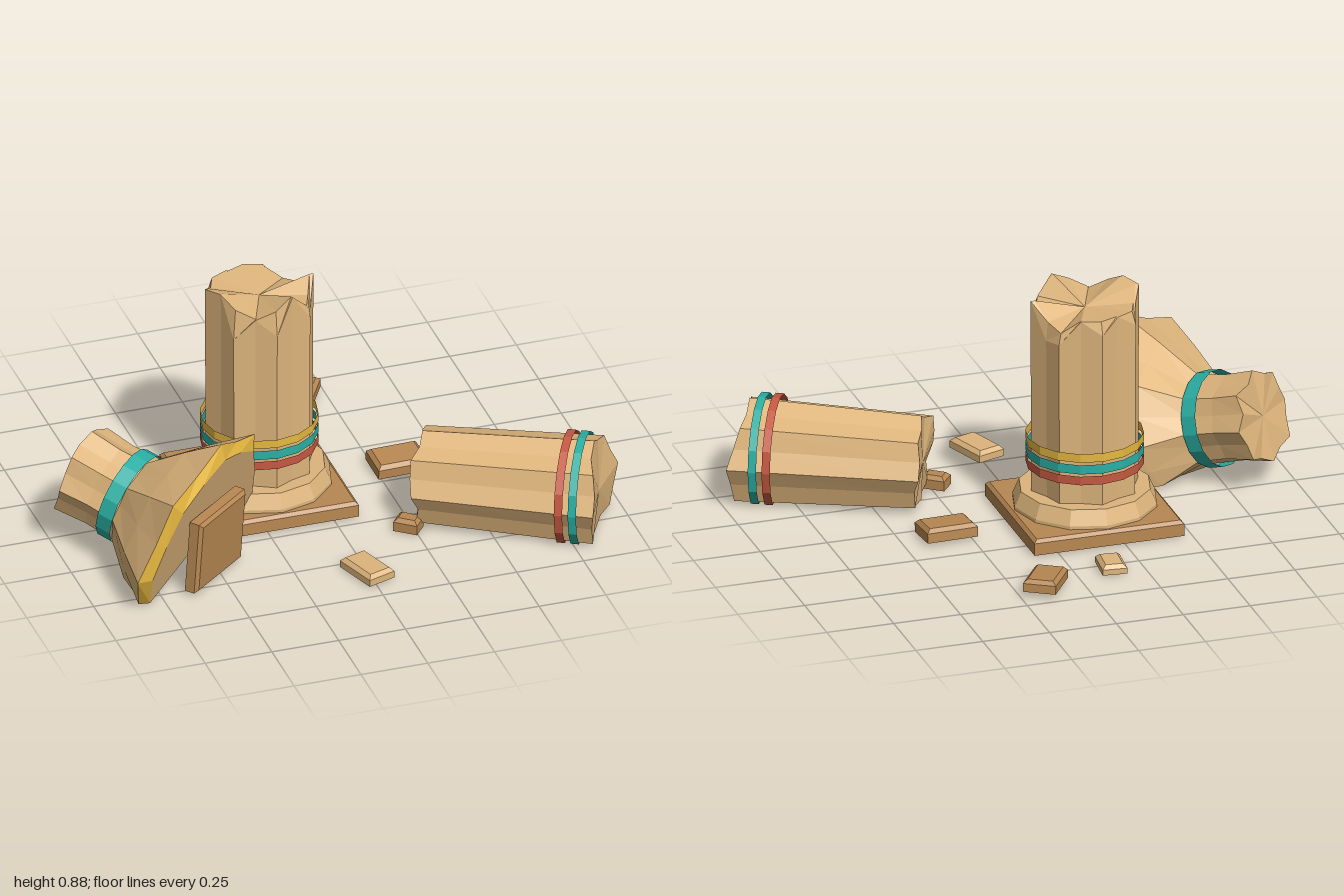
import * as THREE from 'three';

const mat = (color) => new THREE.MeshStandardMaterial({ color, flatShading: true, side: THREE.DoubleSide });
const TAN = mat(0xdeb57c), BROWN = mat(0xb88852), TEAL = mat(0x2bb0a4), RED = mat(0xc65942), GOLD = mat(0xe6b840);
const SIDES = 16;

// Fluted solid along y from sections [height, ridge radius, groove ratio, height offsets].
// Angle 0 faces +z and runs towards +x.
function fluted(sections, sides = SIDES) {
  const pos = [], idx = [];
  for (const [y, r, groove = 0.89, jag] of sections) {
    for (let i = 0; i < sides; i++) {
      const a = (i / sides) * Math.PI * 2, k = i % 2 ? r * groove : r;
      pos.push(k * Math.sin(a), y + (jag ? jag[i] : 0), k * Math.cos(a));
    }
  }
  for (let s = 0; s < sections.length - 1; s++) {
    for (let i = 0; i < sides; i++) {
      const a = s * sides + i, b = s * sides + (i + 1) % sides;
      idx.push(a, b, b + sides, a, b + sides, a + sides);
    }
  }
  const g = new THREE.BufferGeometry();
  g.setAttribute('position', new THREE.Float32BufferAttribute(pos, 3));
  g.setIndex(idx);
  g.computeVertexNormals();
  return g;
}

// Round open band spanning the flutes
const band = (y0, y1, r) =>
  new THREE.CylinderGeometry(r, r, y1 - y0, SIDES, 1, true).translate(0, (y0 + y1) / 2, 0);

// Lays a geometry down along a direction and flattens what would sink into the ground
function layDown(geometry, origin, direction) {
  const u = direction.clone().normalize();
  const side = new THREE.Vector3().crossVectors(u, new THREE.Vector3(0, 1, 0)).normalize();
  const up = new THREE.Vector3().crossVectors(side, u);
  geometry.applyMatrix4(new THREE.Matrix4().makeBasis(side, u, up).setPosition(origin));
  const p = geometry.attributes.position;
  for (let i = 0; i < p.count; i++) p.setY(i, Math.max(0.005, p.getY(i)));
  geometry.computeVertexNormals();
  return geometry;
}

// Box standing on y = 0 whose top edge is bevelled
function block(w, h, d, bevel) {
  const g = new THREE.BoxGeometry(w, h, d, 1, 2, 1).translate(0, h / 2, 0);
  const p = g.attributes.position;
  for (let i = 0; i < p.count; i++) {
    const y = p.getY(i);
    if (y > h * 0.75) {
      p.setX(i, p.getX(i) - Math.sign(p.getX(i)) * bevel);
      p.setZ(i, p.getZ(i) - Math.sign(p.getZ(i)) * bevel);
    } else if (y > h * 0.25) p.setY(i, h - bevel);
  }
  g.computeVertexNormals();
  return g;
}

function add(parent, name, geometry, material) {
  const m = new THREE.Mesh(geometry, material);
  m.name = name;
  parent.add(m);
  return m;
}

function group(parent, name) {
  const g = new THREE.Group();
  g.name = name;
  parent.add(g);
  return g;
}

export function createModel() {
  const model = new THREE.Group();
  model.name = 'ruinedColumns';

  // Standing broken column; the break bridges the notches of the jagged rim
  const column = group(model, 'standingColumn');
  column.position.set(-0.19, 0, -0.07);
  add(column, 'plinth', block(0.56, 0.058, 0.56, 0.012), BROWN);
  add(column, 'foot', fluted([[0.05, 0.262, 1], [0.07, 0.262, 1], [0.125, 0.238, 1], [0.125, 0, 1]], 12), TAN);
  const rim = [0.75, 0.88, 0.77, 0.75, 0.86, 0.73, 0.74, 0.83, 0.78, 0.83, 0.78, 0.83, 0.87, 0.88, 0.73, 0.81];
  const bridged = rim.map((h, i) => Math.max(h, (rim[(i + 15) % 16] + rim[(i + 1) % 16]) / 2));
  add(column, 'shaft', fluted([
    [0.12, 0.2], [0, 0.203, 0.89, rim], [0, 0.188, 0.92, bridged], [0.81, 0],
  ]), TAN);
  [['redBand', 0.21, 0.243, RED], ['tealBand', 0.252, 0.287, TEAL], ['goldBand', 0.297, 0.33, GOLD]]
    .forEach(([name, y0, y1, m]) => add(column, name, band(y0, y1, 0.211), m));

  // Fallen drum lying on its side, a little narrower at its near end
  const drum = group(model, 'fallenDrum');
  const drumOrigin = new THREE.Vector3(0.3, 0.15, 0.23), drumAxis = new THREE.Vector3(0.878, 0, 0.478);
  const nearEnd = [0.02, 0.02, 0, 0, 0.01, 0.03, 0.02, 0.03, 0.02, 0.03, 0.02, 0.02, 0, 0, 0.01, 0.01];
  const farEnd = [0.64, 0.64, 0.66, 0.67, 0.67, 0.66, 0.66, 0.65, 0.65, 0.65, 0.67, 0.68, 0.69, 0.67, 0.65, 0.64];
  const lay = (name, g, m) => add(drum, name, layDown(g, drumOrigin, drumAxis), m);
  lay('drumBody', fluted([[0.015, 0], [0, 0.178, 0.89, nearEnd], [0, 0.2, 0.89, farEnd], [0.657, 0]]), TAN);
  lay('drumRedBand', band(0.53, 0.56, 0.207), RED);
  lay('drumTealBand', band(0.58, 0.61, 0.207), TEAL);

  // Fallen flared capital, wide end tipped towards the ground
  const capital = group(model, 'fallenCapital');
  const capOrigin = new THREE.Vector3(-0.88, 0.262, 0), capAxis = new THREE.Vector3(0.64, -0.26, 0.72);
  const set = (name, g, m) => add(capital, name, layDown(g, capOrigin, capAxis), m);
  const neckEnd = [0, -0.01, 0, 0, 0.01, 0, -0.01, 0, 0, 0.01, 0, 0, 0, -0.015, 0.01, -0.01];
  set('neck', fluted([[0, 0], [0, 0.172, 0.88, neckEnd], [0.12, 0.162], [0.25, 0.168]]), TAN);
  set('neckBand', band(0.175, 0.235, 0.174), TEAL);
  set('flare', fluted([[0.23, 0.165], [0.36, 0.295, 0.92], [0.485, 0.41, 0.9]]), TAN);
  set('goldLip', fluted([[0.485, 0.41, 0.9], [0.515, 0.355, 0.96]]), GOLD);
  set('capitalFace', fluted([[0.515, 0.355, 0.96], [0.515, 0, 1]]), TAN);

  // Slab leaning against the capital
  const slab = add(model, 'leaningSlab', block(0.32, 0.05, 0.28, 0.012).translate(0, -0.025, 0).rotateX(Math.PI / 2), BROWN);
  slab.position.set(-0.52, 0.143, 0.435);
  slab.rotation.set(0.05, 0.72, -0.04, 'YXZ');

  // Scattered rubble: x, z, width, height, depth, turn, tilt
  const rubble = group(model, 'rubble');
  [
    [-0.135, -0.535, 0.09, 0.035, 0.125, -0.1, 0, TAN],
    [0.14, -0.62, 0.12, 0.045, 0.19, -0.55, 0.08, BROWN],
    [0.33, -0.08, 0.19, 0.05, 0.135, 0.03, 0.07, BROWN],
    [-0.005, 0.587, 0.11, 0.04, 0.175, 0.33, 0, TAN],
    [0.23, 0.345, 0.07, 0.05, 0.09, 0.9, 0, BROWN],
  ].forEach(([x, z, w, h, d, turn, tilt, m], i) => {
    const s = add(rubble, 'stone' + (i + 1), block(w, h, d, 0.014), m);
    s.position.set(x, Math.sin(tilt) * d / 2, z);
    s.rotation.set(tilt, turn, 0, 'YXZ');
  });

  return model;
}
